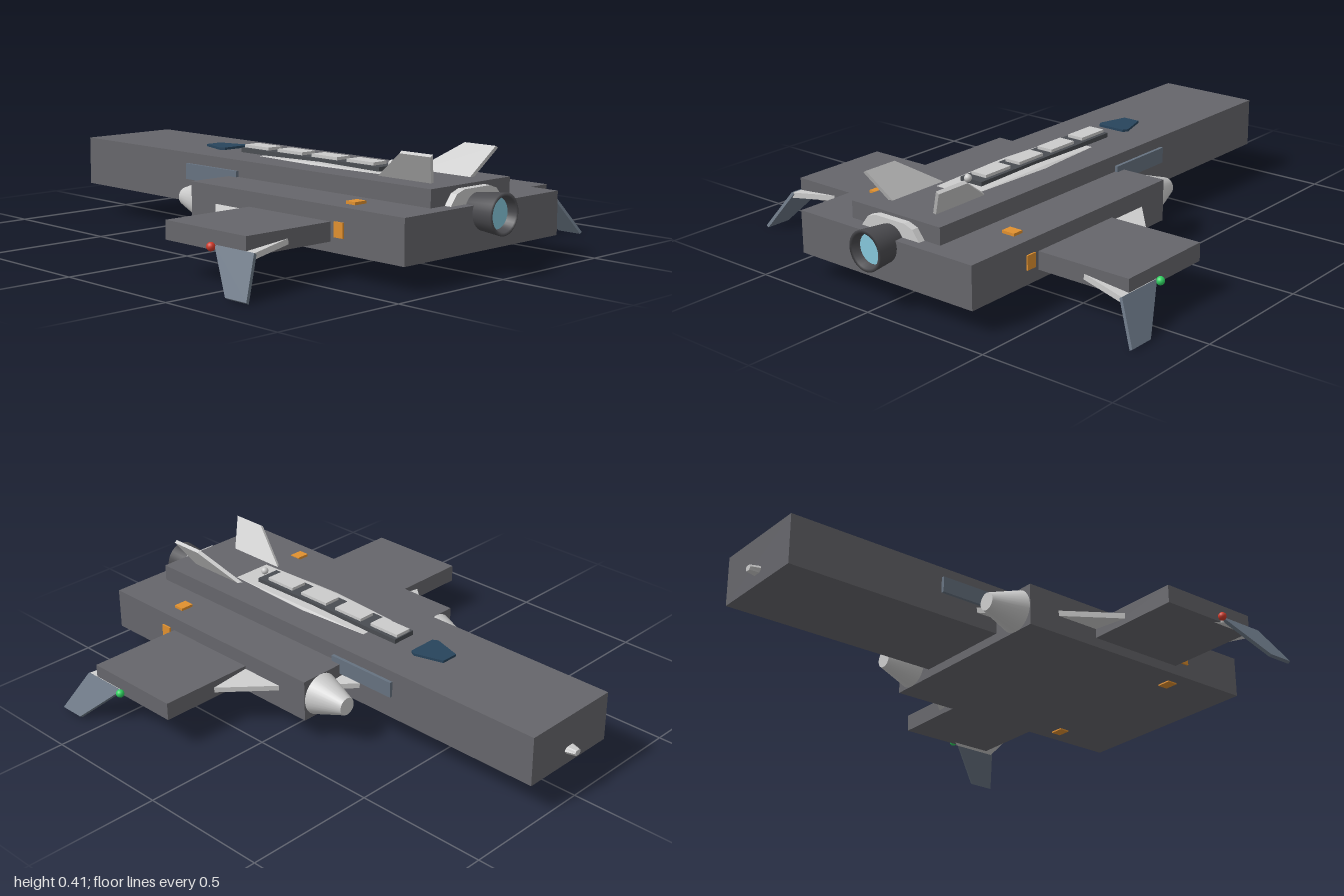
import * as THREE from 'three';

const mat = (color, extra = {}) => new THREE.MeshStandardMaterial({ color, ...extra });
const V = (x, y, z) => new THREE.Vector3(x, y, z);

// Closed solid skinned over equal-length rings of points, flat shaded
function loft(rings) {
  const pos = [], n = rings[0].length;
  const tri = (...p) => p.forEach((v) => pos.push(v.x, v.y, v.z));
  for (let i = 0; i < rings.length - 1; i++) {
    const a = rings[i], b = rings[i + 1];
    for (let j = 0; j < n; j++) {
      const k = (j + 1) % n;
      tri(a[j], a[k], b[k]);
      tri(a[j], b[k], b[j]);
    }
  }
  const first = rings[0], last = rings[rings.length - 1];
  for (let j = 1; j < n - 1; j++) {
    tri(first[0], first[j + 1], first[j]);
    tri(last[0], last[j], last[j + 1]);
  }
  const g = new THREE.BufferGeometry();
  g.setAttribute('position', new THREE.Float32BufferAttribute(pos, 3));
  g.computeVertexNormals();
  return g;
}

// Thin slab around a flat outline in space
function plate(points, thickness) {
  const n = points[1].clone().sub(points[0])
    .cross(points[2].clone().sub(points[0])).setLength(thickness / 2);
  return loft([points.map((p) => p.clone().sub(n)), points.map((p) => p.clone().add(n))]);
}

// Box given by its limits on each axis
function block(x0, x1, y0, y1, z0, z1) {
  return new THREE.BoxGeometry(x1 - x0, y1 - y0, z1 - z0)
    .translate((x0 + x1) / 2, (y0 + y1) / 2, (z0 + z1) / 2);
}

export function createModel() {
  const ship = new THREE.Group();
  ship.name = 'spaceship';
  const armour = mat(0x66666b);
  const light = mat(0xcccccc);
  const steel = mat(0x667280);
  const dark = mat(0x4a4d52);
  const glass = mat(0x27445c);
  const orange = mat(0xe0902f);
  const add = (name, geometry, material) => {
    const mesh = new THREE.Mesh(geometry, material);
    mesh.name = name;
    ship.add(mesh);
    return mesh;
  };

  // Heavy slabs of the body
  add('fuselage', block(-0.2, 0.2, 0.117, 0.302, -0.965, 0.86), armour);
  add('engineBlock', block(-0.388, 0.388, 0.085, 0.24, -0.105, 0.92), armour);

  // Inner hull: nose tip, raised back strip and tail end show through the slabs
  const section = ([z, w, yMid, bottom, top]) => [
    [1, yMid], [0.78, top - (top - yMid) * 0.25], [0.5, top], [-0.5, top],
    [-0.78, top - (top - yMid) * 0.25], [-1, yMid], [-0.6, bottom], [0.6, bottom],
  ].map(([x, y]) => V(x * w, y, z));
  add('innerHull', loft([
    [-1, 0.015, 0.17, 0.16, 0.18],
    [-0.96, 0.028, 0.17, 0.157, 0.184],
    [-0.4, 0.12, 0.2, 0.14, 0.27],
    [-0.09, 0.15, 0.21, 0.13, 0.302],
    [0.2, 0.165, 0.22, 0.13, 0.308],
    [0.58, 0.155, 0.23, 0.13, 0.302],
    [0.885, 0.13, 0.24, 0.15, 0.29],
  ].map(section)), light);

  // Cockpit window
  add('canopy', plate([
    V(-0.033, 0.303, -0.435), V(-0.066, 0.303, -0.325), V(-0.055, 0.303, -0.305),
    V(0.055, 0.303, -0.305), V(0.066, 0.303, -0.325), V(0.033, 0.303, -0.435),
  ], 0.016), glass);

  // Spine with four raised panels and a beacon
  add('spineFrame', block(-0.048, 0.048, 0.29, 0.319, -0.22, 0.49), dark);
  for (let i = 0; i < 4; i++) {
    const z = -0.15 + i * 0.178;
    add('spinePanel', block(-0.033, 0.033, 0.31, 0.33, z - 0.065, z + 0.065), light);
  }
  add('beacon', new THREE.SphereGeometry(0.014, 16, 12).translate(0, 0.328, 0.505), light);

  // Main engine: open flared bell with a glowing disc
  const bell = [[0.058, 0.86], [0.072, 1], [0.06, 1], [0.05, 0.955]]
    .map(([r, z]) => new THREE.Vector2(r, z));
  add('engineNozzle', new THREE.LatheGeometry(bell, 32).rotateX(Math.PI / 2).translate(0, 0.214, 0),
    mat(0x4a4a4e, { side: THREE.DoubleSide }));
  add('engineGlow', new THREE.CircleGeometry(0.06, 32).translate(0, 0.214, 0.97), mat(0x86c8dc));

  // Parts mirrored on both sides
  for (const s of [1, -1]) {
    const side = s > 0 ? 'left' : 'right';
    const span = (x0, x1, ...rest) => block(Math.min(s * x0, s * x1), Math.max(s * x0, s * x1), ...rest);

    add(side + 'WingSlab', span(0.38, 0.755, 0.12, 0.186, 0.2, 0.595), armour);
    add(side + 'Wing', plate([
      V(s * 0.15, 0.188, -0.25), V(s * 0.15, 0.188, 0.5),
      V(s * 0.76, 0.128, 0.636), V(s * 0.76, 0.128, 0.455),
    ], 0.02), light);
    add(side + 'Winglet', plate([
      V(s * 0.755, 0.137, 0.45), V(s * 0.755, 0.137, 0.637),
      V(s * 0.84, 0.003, 0.695), V(s * 0.84, 0.003, 0.597),
    ], 0.012), steel);
    add(side + 'TailFin', plate([
      V(s * 0.09, 0.285, 0.51), V(s * 0.09, 0.285, 0.77),
      V(s * 0.165, 0.403, 0.83), V(s * 0.165, 0.403, 0.695),
    ], 0.014), light);
    add(side + 'SidePanel', span(0.19, 0.212, 0.203, 0.262, -0.348, -0.065), steel);

    // Nacelle with a blunt cone ahead of the block
    add(side + 'NacelleCone', new THREE.CylinderGeometry(0.033, 0.078, 0.13, 32)
      .rotateX(-Math.PI / 2).translate(s * 0.308, 0.162, -0.17), light);
    add(side + 'Nacelle', new THREE.CylinderGeometry(0.076, 0.076, 1.02, 32)
      .rotateX(Math.PI / 2).translate(s * 0.308, 0.162, 0.408), dark);

    // Thruster blocks on top, underside and flank
    add(side + 'ThrusterTop', span(0.28, 0.332, 0.23, 0.25, 0.61, 0.652), orange);
    add(side + 'ThrusterBottom', span(0.28, 0.332, 0.08, 0.1, 0.61, 0.652), orange);
    add(side + 'ThrusterFlank', span(0.37, 0.394, 0.138, 0.19, 0.615, 0.657), orange);

    add(side + 'NavigationLight', new THREE.SphereGeometry(0.015, 16, 12)
      .translate(s * 0.77, 0.134, 0.445), mat(s > 0 ? 0x2fd060 : 0xd03a2a));
  }
  return ship;
}
